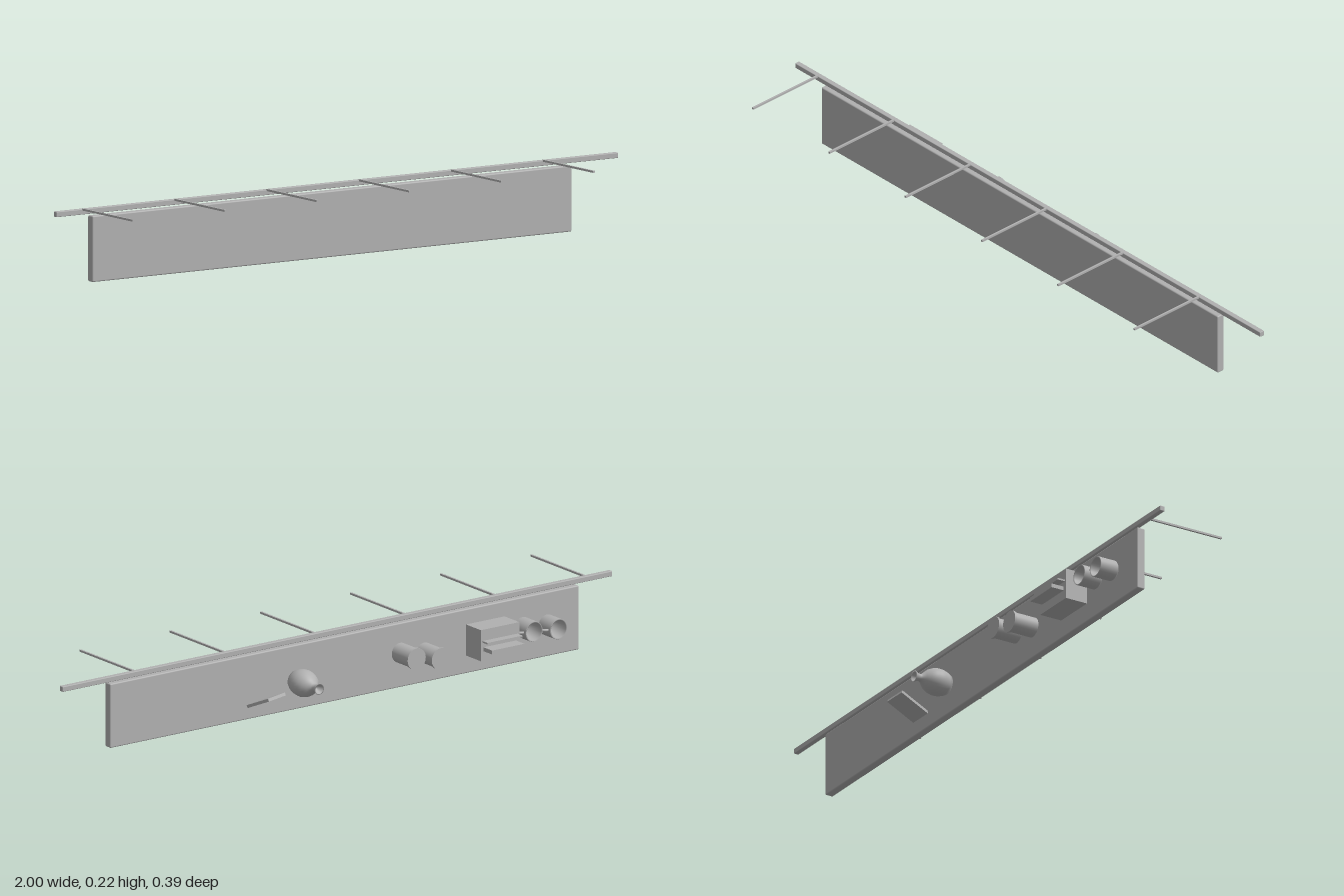
import * as THREE from 'three';
import { RoundedBoxGeometry } from 'three/addons/geometries/RoundedBoxGeometry.js';

export function createModel() {
  const model = new THREE.Group();
  model.name = 'wallShelf';
  const grey = new THREE.MeshStandardMaterial({ color: 0xb0b0b0 });
  grey.name = 'plain grey';

  function add(parent, name, geometry, x = 0, y = 0, z = 0) {
    const mesh = new THREE.Mesh(geometry, grey);
    mesh.name = name;
    mesh.position.set(x, y, z);
    parent.add(mesh);
    return mesh;
  }
  const lathe = (points, sides = 32) =>
    new THREE.LatheGeometry(points.map(([r, h]) => new THREE.Vector2(r, h)), sides);

  // Board with softened edges
  add(model, 'shelfBoard', new RoundedBoxGeometry(1.705, 0.196, 0.026, 3, 0.004), -0.025, 0.098, -0.064);

  // Long rail and its six thin rods
  add(model, 'rail', new RoundedBoxGeometry(2, 0.016, 0.016, 2, 0.002), 0, 0.21, -0.068);
  for (let i = 0; i < 6; i++) {
    add(model, 'rod', new THREE.BoxGeometry(0.006, 0.006, 0.26), -0.905 + i * 0.328, 0.217, 0.067);
  }

  // Objects stand on the board's back face: local y points along -z, local z points up
  const items = new THREE.Group();
  items.name = 'shelfItems';
  items.rotation.x = -Math.PI / 2;
  items.position.z = -0.077;
  model.add(items);

  // Hollow mugs with ring handles
  const mugProfile = [[0, 0.003], [0.026, 0.003], [0.031, 0.009], [0.031, 0.066],
    [0.03, 0.068], [0.027, 0.066], [0.027, 0.012], [0, 0.01]];
  for (const [x, z] of [[-0.754, 0.1], [-0.665, 0.108]]) {
    const mug = new THREE.Group();
    mug.name = 'mug';
    mug.position.set(x, 0, z);
    items.add(mug);
    add(mug, 'mugCup', lathe(mugProfile));
    const handle = new THREE.TorusGeometry(0.019, 0.004, 8, 20, Math.PI);
    handle.rotateZ(-Math.PI / 2);
    add(mug, 'mugHandle', handle, 0.031, 0.037, 0);
  }

  // Storage box with two thin panels standing taller behind it
  add(items, 'storageBox', new THREE.BoxGeometry(0.14, 0.073, 0.095), -0.535, 0.0385, 0.1025);
  add(items, 'middlePanel', new THREE.BoxGeometry(0.128, 0.099, 0.005), -0.535, 0.0505, 0.1135);
  add(items, 'tallPanel', new THREE.BoxGeometry(0.118, 0.116, 0.012), -0.534, 0.059, 0.09);

  // Lidded canisters
  for (const [x, z] of [[-0.312, 0.092], [-0.224, 0.107]]) {
    add(items, 'canister', new THREE.CylinderGeometry(0.03, 0.03, 0.076, 32), x, 0.041, z);
    add(items, 'canisterLid', new THREE.CylinderGeometry(0.033, 0.033, 0.007, 32), x, 0.082, z);
  }

  // Vase with narrow neck and flared rim
  add(items, 'vase', lathe([[0, 0.003], [0.03, 0.003], [0.036, 0.015], [0.04, 0.03], [0.041, 0.045],
    [0.038, 0.06], [0.031, 0.075], [0.021, 0.086], [0.013, 0.094], [0.011, 0.1], [0.012, 0.108],
    [0.017, 0.119], [0.014, 0.119], [0.009, 0.105], [0, 0.1]]), 0.155, 0, 0.09);

  // Leaning picture frame
  const frame = add(items, 'leaningFrame', new THREE.BoxGeometry(0.068, 0.104, 0.009), 0.297, 0.05, 0.065);
  frame.rotation.set(0.4, 0.12, 0.07);

  return model;
}
